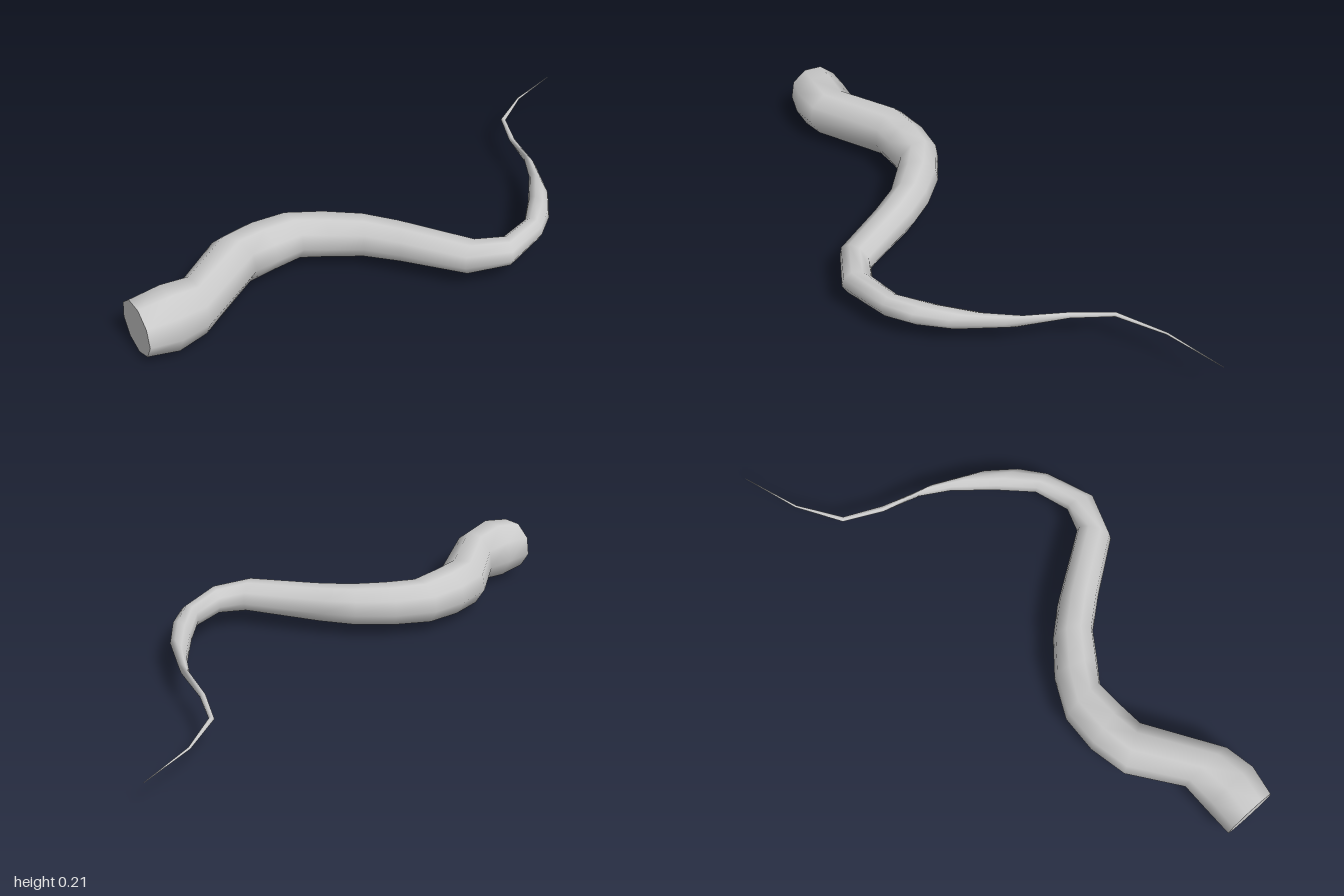
import * as THREE from 'three';

const SIDES = 9;
const MID_Y = 0.113;

// Cross-sections from root to tip: back edge x, z, front edge x, z, half height
const SECTIONS = [
  [-1.0, -0.02, -1.0, 0.168, 0.093],
  [-0.9, -0.02, -0.9, 0.186, 0.11],
  [-0.8, -0.02, -0.8, 0.168, 0.094],
  [-0.64, -0.14, -0.55, 0.01, 0.09],
  [-0.51, -0.168, -0.47, 0.005, 0.087],
  [-0.38, -0.163, -0.37, 0.0, 0.08],
  [-0.25, -0.1, -0.3, 0.05, 0.076],
  [-0.14, -0.01, -0.21, 0.11, 0.073],
  [-0.06, 0.08, -0.13, 0.205, 0.067],
  [0.1, 0.31, 0.0, 0.38, 0.057],
  [0.18, 0.337, 0.15, 0.435, 0.047],
  [0.3, 0.298, 0.32, 0.372, 0.041],
  [0.4, 0.195, 0.4, 0.31, 0.037],
  [0.5, 0.075, 0.47, 0.22, 0.031],
  [0.56, -0.03, 0.545, 0.06, 0.022],
  [0.588, -0.15, 0.605, -0.14, 0.01],
  [0.65, -0.28, 0.662, -0.268, 0.007],
  [0.8, -0.372, 0.803, -0.364, 0.004],
  [1.0, -0.437, 1.0, -0.435, 0.001],
];

// One oval ring spanning the two edges of a section, a vertex at the bottom
function ringPoints([bx, bz, fx, fz, h]) {
  const points = [];
  for (let j = 0; j < SIDES; j++) {
    const a = -Math.PI / 2 + (j / SIDES) * Math.PI * 2;
    const c = Math.cos(a) / 2;
    points.push(
      (bx + fx) / 2 + c * (bx - fx),
      MID_Y + Math.sin(a) * h,
      (bz + fz) / 2 + c * (bz - fz),
    );
  }
  return points;
}

function makeGeometry(positions, index) {
  const geometry = new THREE.BufferGeometry();
  geometry.setAttribute('position', new THREE.Float32BufferAttribute(positions, 3));
  geometry.setIndex(index);
  geometry.computeVertexNormals();
  return geometry;
}

export function createModel() {
  const group = new THREE.Group();
  group.name = 'tentacle';
  const material = new THREE.MeshStandardMaterial({ color: 0xcccccc });

  // Winding, tapering body
  const index = [];
  for (let i = 0; i < SECTIONS.length - 1; i++) {
    for (let j = 0; j < SIDES; j++) {
      const k = (j + 1) % SIDES;
      const a = i * SIDES + j, b = i * SIDES + k;
      index.push(a, b, a + SIDES, b, b + SIDES, a + SIDES);
    }
  }
  const body = new THREE.Mesh(makeGeometry(SECTIONS.flatMap(ringPoints), index), material);
  body.name = 'body';
  group.add(body);

  // Flat ends closing the root and the tip
  for (const [name, section, atRoot] of [
    ['rootCap', SECTIONS[0], true],
    ['tipCap', SECTIONS[SECTIONS.length - 1], false],
  ]) {
    const fan = [];
    for (let j = 1; j < SIDES - 1; j++) fan.push(0, ...(atRoot ? [j + 1, j] : [j, j + 1]));
    const cap = new THREE.Mesh(makeGeometry(ringPoints(section), fan), material);
    cap.name = name;
    group.add(cap);
  }
  return group;
}
